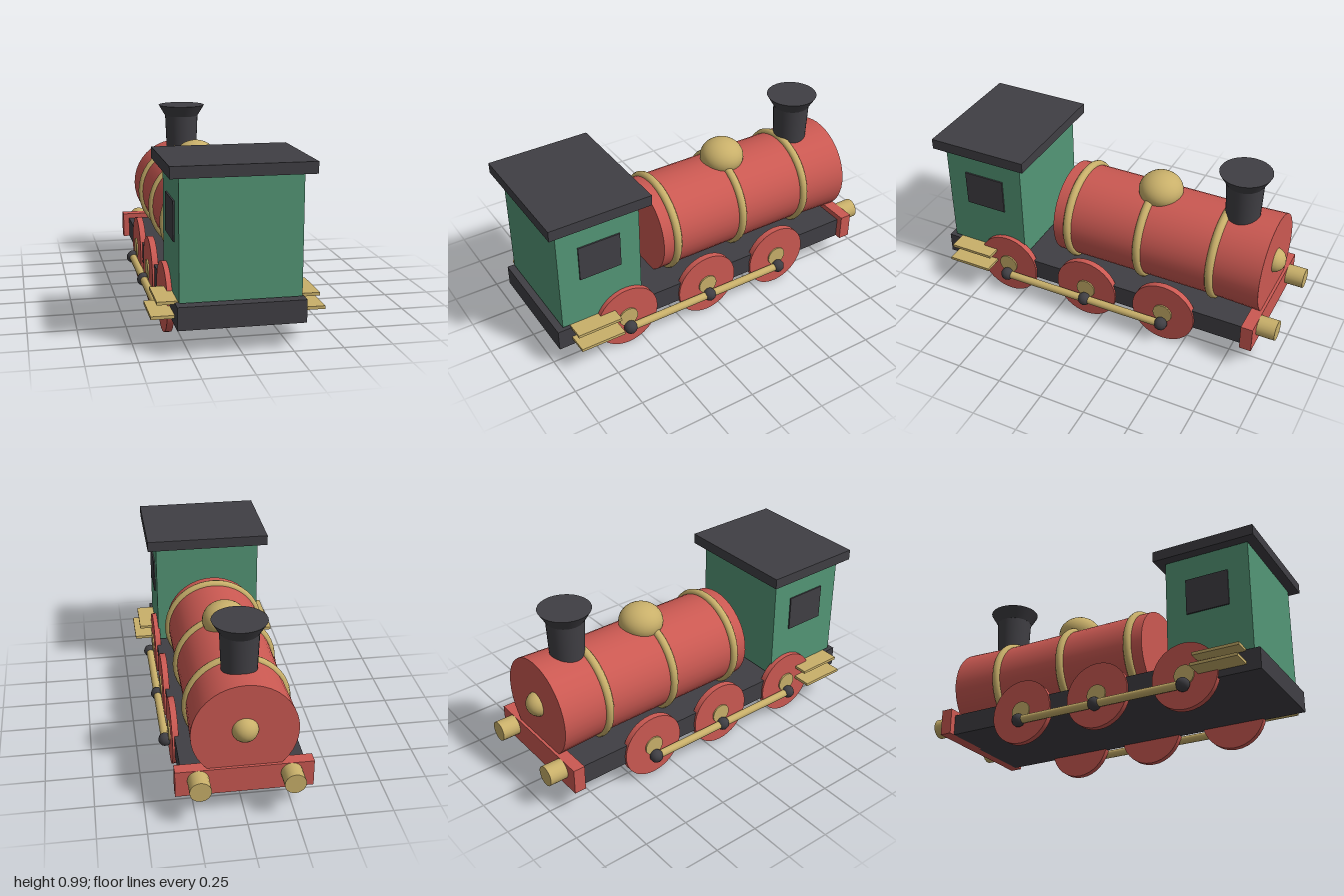
import * as THREE from 'three';

const mat = (name, color) => {
  const m = new THREE.MeshStandardMaterial({ color });
  m.name = name;
  return m;
};

export function createModel() {
  const red = mat('red', 0xcb5952);
  const green = mat('green', 0x539676);
  const gold = mat('brass', 0xc9b06a);
  const dark = mat('charcoal', 0x403f44);

  const model = new THREE.Group();
  model.name = 'steamLocomotive';

  const add = (name, geometry, material, x = 0, y = 0, z = 0) => {
    const mesh = new THREE.Mesh(geometry, material);
    mesh.name = name;
    mesh.position.set(x, y, z);
    model.add(mesh);
    return mesh;
  };
  // Box given by its extents along each axis
  const box = (name, material, [x0, x1], [y0, y1], [z0, z1]) =>
    add(name, new THREE.BoxGeometry(x1 - x0, y1 - y0, z1 - z0), material,
      (x0 + x1) / 2, (y0 + y1) / 2, (z0 + z1) / 2);
  // Cylinder lying along z from z0 to z1, with a radius at each end
  const rodZ = (name, material, r0, r1, z0, z1, x, y, sides = 32) =>
    add(name, new THREE.CylinderGeometry(r1, r0, z1 - z0, sides).rotateX(Math.PI / 2),
      material, x, y, (z0 + z1) / 2);
  // Cylinder lying along x
  const discX = (name, material, r, width, x, y, z, sides = 32) =>
    add(name, new THREE.CylinderGeometry(r, r, width, sides).rotateZ(Math.PI / 2), material, x, y, z);

  // Frame and bumper beam
  box('chassis', dark, [-0.315, 0.315], [0.135, 0.25], [-0.85, 0.985]);
  box('bumperBeam', red, [-0.35, 0.35], [0.135, 0.28], [-0.9, -0.835]);

  // Boiler, smokebox and brass bands
  const boilerY = 0.473;
  rodZ('boiler', red, 0.259, 0.259, -0.62, 0.315, 0, boilerY, 40);
  rodZ('smokebox', red, 0.27, 0.26, -0.885, -0.6, 0, boilerY, 40);
  for (const z of [0.23, -0.19, -0.608]) {
    add('boilerBand', new THREE.TorusGeometry(0.257, 0.024, 10, 48), gold, 0, boilerY, z);
  }
  add('smokeboxKnob', new THREE.SphereGeometry(0.068, 20, 14), gold, 0, 0.49, -0.873);

  // Steam dome
  add('steamDome', new THREE.SphereGeometry(0.121, 28, 18).scale(1, 0.83, 1), gold, 0, 0.742, -0.215);

  // Chimney with flared cap
  add('chimneyStack', new THREE.CylinderGeometry(0.1, 0.09, 0.24, 28), dark, 0, 0.81, -0.683);
  add('chimneyFlare', new THREE.CylinderGeometry(0.139, 0.1, 0.065, 28), dark, 0, 0.957, -0.683);

  // Cab and roof
  box('cab', green, [-0.3, 0.3], [0.258, 0.858], [0.485, 0.95]);
  box('cabRoof', dark, [-0.35, 0.35], [0.862, 0.92], [0.435, 1]);

  const axles = [0.585, 0.085, -0.382];
  for (const s of [-1, 1]) {
    // Side window
    const pane = box('cabWindow', dark, [0.299, 0.308], [0.527, 0.725], [0.6, 0.835]);
    pane.position.x *= s;

    // Bumper
    rodZ('bumper', gold, 0.055, 0.055, -1, -0.89, s * 0.235, 0.225, 20);

    // Wheels, hubs and crank pins
    for (const z of axles) {
      discX('wheel', red, 0.18, 0.034, s * 0.309, 0.18, z, 36);
      discX('wheelHub', gold, 0.055, 0.04, s * 0.314, 0.18, z, 20);
      add('crankPin', new THREE.SphereGeometry(0.037, 10, 8), dark, s * 0.35, 0.122, z);
    }
    rodZ('couplingRod', gold, 0.022, 0.022, axles[2], axles[0], s * 0.35, 0.122, 12);

    // Cab steps
    for (const [y, outer] of [[0.25, 0.4], [0.18, 0.43]]) {
      const step = box('cabStep', gold, [outer - 0.12, outer], [y - 0.008, y + 0.008], [0.66, 0.91]);
      step.position.x *= s;
    }
  }
  return model;
}
